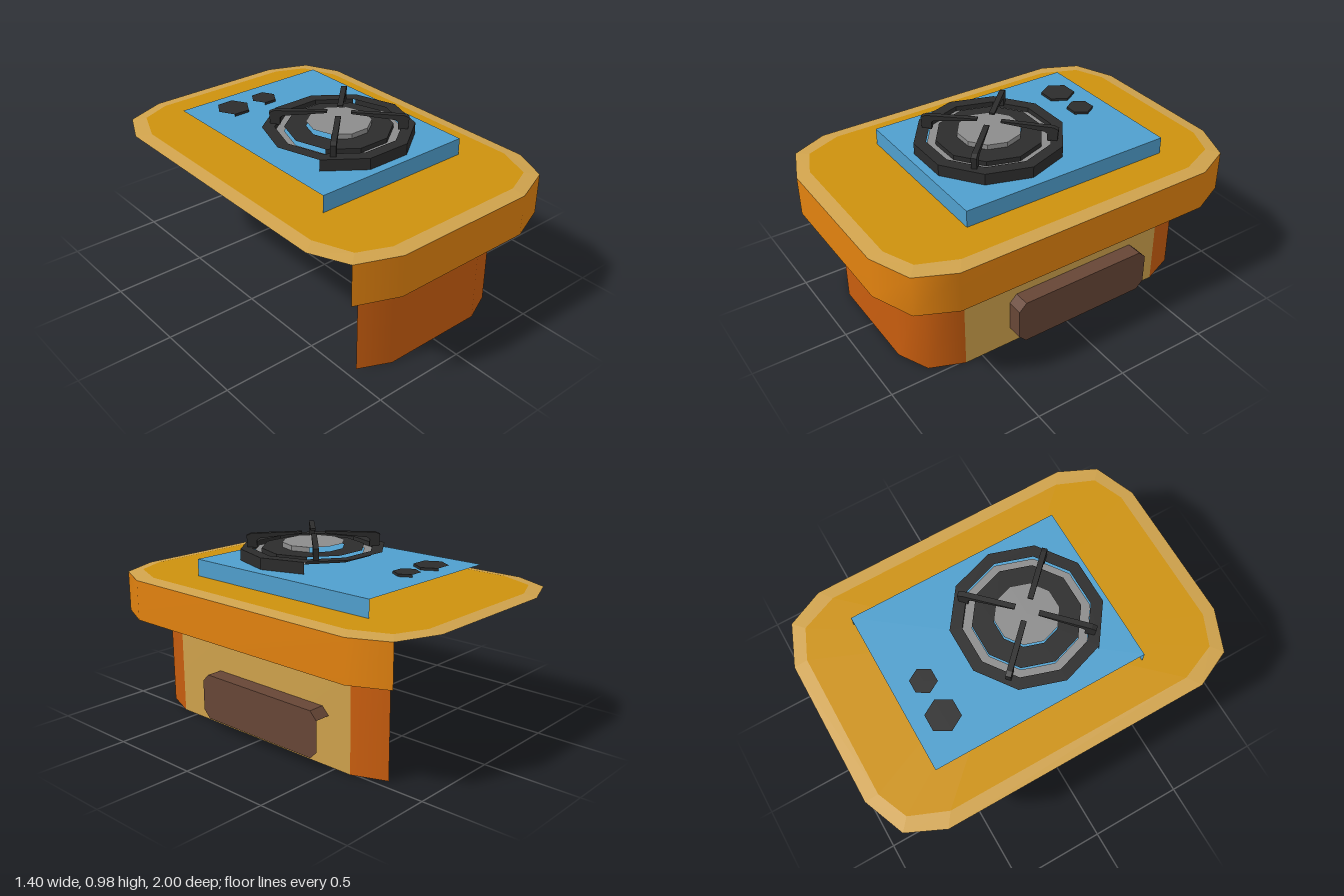
import * as THREE from 'three';

const colour = (name, hex) => {
  const m = new THREE.MeshStandardMaterial({ color: hex, side: THREE.DoubleSide });
  m.name = name;
  return m;
};

export function createModel() {
  const group = new THREE.Group();
  const amber = colour('amber', 0xcc910d);
  const orange = colour('orange', 0xe2820f);
  const rust = colour('rust', 0xc85d0e);
  const tan = colour('tan', 0xcfa24c);
  const blue = colour('blue', 0x4f9fcd);
  const brown = colour('brown', 0x674636);
  const dark = colour('charcoal', 0x2c2c2c);
  const grey = colour('grey', 0x8c8c8c);

  const add = (name, geometry, material) => {
    const mesh = new THREE.Mesh(geometry, material);
    mesh.name = name;
    group.add(mesh);
    return mesh;
  };

  // Band of quads between two matching rows of [x, y, z] points
  const strip = (lower, upper, smooth = false) => {
    const n = lower.length;
    const index = [];
    for (let i = 0; i < n - 1; i++) index.push(i, i + 1, n + i + 1, i, n + i + 1, n + i);
    let g = new THREE.BufferGeometry();
    g.setAttribute('position', new THREE.Float32BufferAttribute([...lower, ...upper].flat(), 3));
    g.setIndex(index);
    if (!smooth) g = g.toNonIndexed();
    g.computeVertexNormals();
    return g;
  };
  const atY = (pts, y) => pts.map(([x, , z]) => [x, y, z]);
  const wall = (pts, y0, y1, smooth) => strip(atY(pts, y0), atY(pts, y1), smooth);
  const close = (pts) => [...pts, pts[0]];

  // Rounded-corner outline from the three points of one corner,
  // running from the left end of the front round to the back
  const outline = ([a, b, c], y) => {
    const quarter = [a, b, c];
    const q = (sx, sz, pts) => pts.map(([x, z]) => [sx * x, y, sz * z]);
    const rev = [c, b, a];
    const loop = [...q(-1, 1, rev), ...q(1, 1, quarter), ...q(1, -1, rev), ...q(-1, -1, quarter)];
    return [...loop.slice(1), loop[0]];
  };
  const openSides = 7; // the shell is open at the back and on one side

  // Table top: amber field, sloping tan rim, deep apron
  const edge = outline([[0.39, 1], [0.61, 0.912], [0.7, 0.717]], 0.745);
  const field = outline([[0.39, 0.928], [0.55, 0.86], [0.63, 0.667]], 0.755);
  add('tableRim', strip(close(edge), close(field)), tan);
  add('tableTop', strip(close(field), close(field.map(() => [0, 0.755, 0]))), amber);
  add('apron', wall(edge.slice(0, openSides), 0.53, 0.745, true), orange);

  // Base with a tan side panel
  const foot = outline([[0.28, 0.845], [0.445, 0.77], [0.515, 0.595]], 0);
  const base = wall(foot.slice(0, openSides), 0, 0.53, true);
  base.addGroup(0, 24, 0);
  base.addGroup(24, 6, 1);
  base.addGroup(30, 6, 0);
  add('base', base, [rust, tan]);

  // Side handle: chamfered plate, with top and front faces running inwards
  const profile = [
    [0.335, 0.1], [0.335, 0.26], [0.295, 0.3], [-0.42, 0.3],
    [-0.46, 0.26], [-0.46, 0.1], [-0.42, 0.06], [0.295, 0.06],
  ];
  const handleAt = (x) => profile.map(([z, y]) => [x, y, z]);
  const plate = close(handleAt(0.6));
  add('handleFace', strip(plate, plate.map(() => [0.6, 0.18, -0.06])), brown);
  add('handleSides', strip(handleAt(0.6).slice(0, 5), handleAt(0.24).slice(0, 5)), brown);

  // Cooker body
  const box = [[-0.445, 0, 0.525], [0.445, 0, 0.525], [0.445, 0, -0.64], [-0.445, 0, -0.64]];
  add('cookerSides', wall(box.slice(0, 3), 0.75, 0.845), blue);
  add('cookerTop', strip(atY([box[0], box[1]], 0.845), atY([box[3], box[2]], 0.845)), blue);

  // Corners of a regular polygon from step "from" down to step "to"
  const arc = (n, r, y, cx, cz, from, to) => {
    const pts = [];
    for (let k = from; k >= to; k--) {
      const t = (k * 2 * Math.PI) / n;
      pts.push([cx + r * Math.cos(t), y, cz + r * Math.sin(t)]);
    }
    return pts;
  };
  const ring = (n, r0, r1, y, cx, cz) =>
    strip(arc(n, r0, y, cx, cz, n, 0), arc(n, r1, y, cx, cz, n, 0));

  // Knobs
  for (const [x, r] of [[-0.23, 0.09], [-0.03, 0.07]]) {
    add('knobTop', ring(6, r, 0, 0.858, x, -0.483), dark);
    add('knobSide', wall(arc(6, r, 0, x, -0.483, 2, -1), 0.845, 0.858), dark);
  }

  // Burner: outer ring, grey groove, inner ring and raised cap
  const bz = 0.113;
  const burner = (r, from, to) => arc(10, r, 0, 0, bz, from, to);
  add('burnerOuterWall', wall(burner(0.386, 4, -1), 0.845, 0.905), dark);
  add('burnerOuterRing', ring(10, 0.386, 0.323, 0.905, 0, bz), dark);
  add('burnerGrooveWall', wall(burner(0.323, -1, -6), 0.88, 0.905), dark);
  add('burnerGroove', ring(10, 0.323, 0.275, 0.88, 0, bz), grey);
  add('burnerInnerWall', wall(burner(0.275, 4, -1), 0.88, 0.905), dark);
  add('burnerInnerRing', ring(10, 0.275, 0.165, 0.905, 0, bz), dark);
  add('burnerCapWall', wall(burner(0.165, 4, -1), 0.905, 0.931), grey);
  add('burnerCap', ring(10, 0.165, 0, 0.931, 0, bz), grey);

  // Four pan supports
  const prong = new THREE.Shape([
    [0.345, 0.9], [0.35, 0.965], [0.325, 0.976], [0.06, 0.983],
    [0.06, 0.974], [0.28, 0.95], [0.295, 0.94], [0.295, 0.9],
  ].map(([x, y]) => new THREE.Vector2(x, y)));
  const prongGeometry = new THREE.ExtrudeGeometry(prong, { depth: 0.028, bevelEnabled: false });
  prongGeometry.translate(0, 0, -0.014);
  for (let i = 0; i < 4; i++) {
    const support = add('panSupport', prongGeometry, dark);
    support.position.z = bz;
    support.rotation.y = Math.PI / 4 + (i * Math.PI) / 2;
  }

  return group;
}
